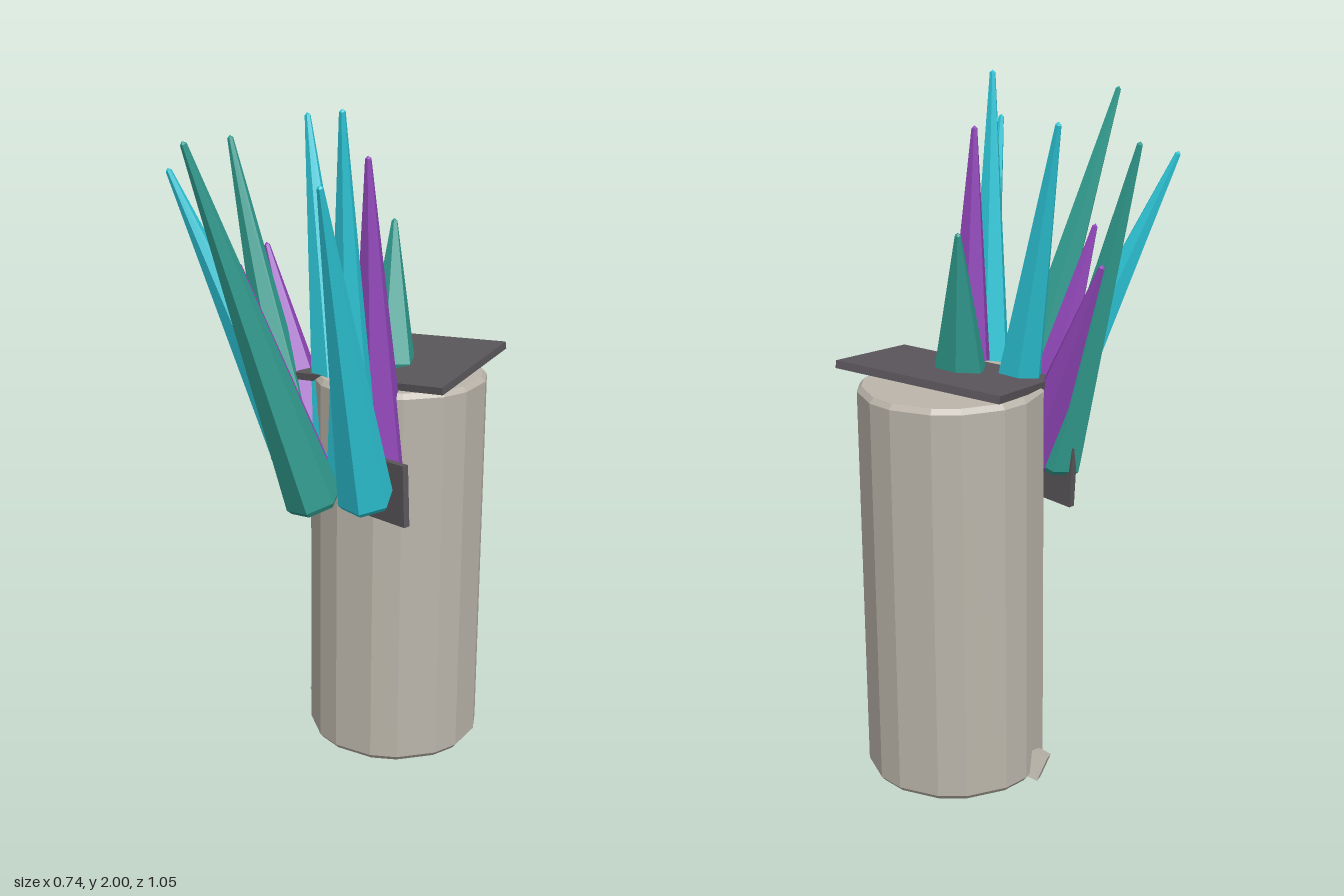
import * as THREE from 'three';

const mat = (name, color) => {
  const m = new THREE.MeshStandardMaterial({ color });
  m.name = name;
  return m;
};

const flat = (g) => {
  const f = g.index ? g.toNonIndexed() : g;
  f.computeVertexNormals();
  return f;
};

export function createModel() {
  const model = new THREE.Group();
  model.name = 'crystalPillar';
  const stone = mat('stone', 0xbbb5aa);
  const slate = mat('slate', 0x5a565b);
  const cyan = mat('cyan', 0x2dc5d6);
  const teal = mat('teal', 0x319c8f);
  const purple = mat('purple', 0x9046b8);

  const add = (name, geometry, material, position, rotation = [0, 0, 0]) => {
    const mesh = new THREE.Mesh(geometry, material);
    mesh.name = name;
    mesh.position.set(...position);
    mesh.rotation.set(...rotation);
    model.add(mesh);
    return mesh;
  };

  // Eight-sided pillar with chamfered corners and rims
  const outline = [];
  for (let k = 0; k < 8; k++) {
    for (const side of [-9, 9]) {
      const a = THREE.MathUtils.degToRad(-9 + 45 * k + side);
      outline.push(new THREE.Vector2(0.261 * Math.sin(a), -0.261 * Math.cos(a)));
    }
  }
  const pillar = new THREE.ExtrudeGeometry(new THREE.Shape(outline), {
    depth: 1.14, bevelEnabled: true, bevelSegments: 1,
    bevelSize: 0.012, bevelOffset: -0.012, bevelThickness: 0.015,
  });
  pillar.rotateX(-Math.PI / 2);
  add('pillar', pillar, stone, [0.07, 0.035, -0.265]);

  // Small stone chip at the foot
  add('stoneChip', new THREE.BoxGeometry(0.06, 0.075, 0.055), stone,
    [-0.18, 0.053, -0.21], [0.3, 0.4, 0.25]);

  // Tilted cap slab and front plate
  add('capSlab', new THREE.BoxGeometry(0.5, 0.022, 0.38), slate,
    [0.075, 1.217, -0.267], [0.13, 0.195, 0.05]);
  add('frontPlate', new THREE.BoxGeometry(0.55, 0.18, 0.02), slate,
    [0.077, 0.918, -0.02], [0, -0.1, 0.06]);

  // Tapered six-sided crystals: material, base centre, tip, radius
  const crystals = [
    [teal, [-0.12, 0.92, -0.03], [-0.367, 1.86, 0], 0.08],
    [cyan, [0.0, 0.92, 0.05], [-0.323, 1.8, 0.272], 0.08],
    [purple, [0.045, 0.92, 0.09], [-0.06, 1.57, 0.253], 0.08],
    [teal, [0.185, 0.92, 0.2], [0.04, 1.935, 0.52], 0.08],
    [cyan, [0.275, 0.92, 0.09], [0.363, 1.845, 0.36], 0.08],
    [cyan, [0.18, 0.92, 0.04], [0.237, 2.0, 0.153], 0.08],
    [purple, [0.19, 0.935, -0.05], [0.188, 1.86, 0.003], 0.088],
    [cyan, [0.01, 0.95, -0.085], [-0.237, 1.92, -0.188], 0.085],
    [purple, [-0.07, 0.94, -0.075], [-0.315, 1.54, -0.092], 0.075],
    [teal, [0.075, 1.2, -0.22], [0.0, 1.625, -0.312], 0.078],
  ];
  const up = new THREE.Vector3(0, 1, 0);
  crystals.forEach(([material, base, tip, r], i) => {
    const from = new THREE.Vector3(...base);
    const axis = new THREE.Vector3(...tip).sub(from);
    const length = axis.length();
    const profile = [[0, 0], [r * 0.88, 0], [r, 0.015], [0.009, length - 0.008], [0, length]]
      .map(([x, y]) => new THREE.Vector2(x, y));
    const geometry = flat(new THREE.LatheGeometry(profile, 6, Math.PI / 6));
    const mesh = add('crystal' + (i + 1), geometry, material, base);
    mesh.quaternion.setFromUnitVectors(up, axis.normalize());
  });

  return model;
}
